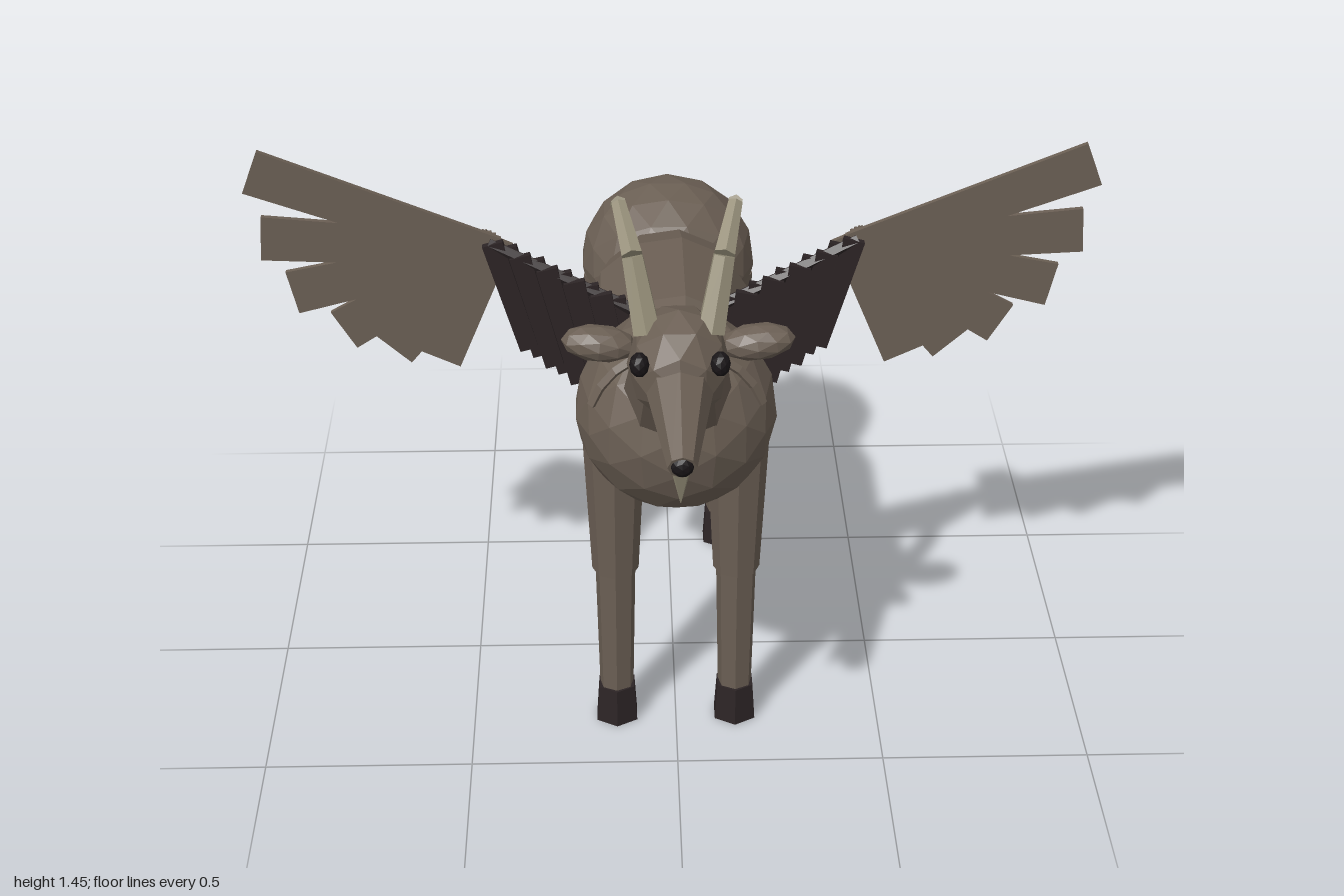
import * as THREE from 'three';

const mat = (name, color) => {
  const m = new THREE.MeshStandardMaterial({ color });
  m.name = name;
  return m;
};

export function createModel() {
  const model = new THREE.Group();
  model.name = 'wingedGoat';
  const hide = mat('hide brown', 0x6b5f54);
  const dark = mat('dark brown', 0x2c2425);
  const horn = mat('horn tan', 0x97907a);
  const black = mat('eye black', 0x191517);

  // faceted mesh: every face gets its own flat normal
  function add(name, geometry, material, parent = model) {
    const g = geometry.index ? geometry.toNonIndexed() : geometry;
    g.computeVertexNormals();
    const mesh = new THREE.Mesh(g, material);
    mesh.name = name;
    parent.add(mesh);
    return mesh;
  }
  const ball = (name, material, pos, size, detail = 2, parent = model) => {
    const mesh = add(name, new THREE.IcosahedronGeometry(1, detail).scale(...size), material, parent);
    mesh.position.set(...pos);
    return mesh;
  };
  // tapered prism running from point a to point b
  function taper(name, material, a, b, ra, rb, sides = 7, parent = model) {
    const start = new THREE.Vector3(...a), end = new THREE.Vector3(...b);
    const dir = end.clone().sub(start);
    const mesh = add(name, new THREE.CylinderGeometry(rb, ra, dir.length(), sides), material, parent);
    mesh.position.copy(start).add(end).multiplyScalar(0.5);
    mesh.quaternion.setFromUnitVectors(new THREE.Vector3(0, 1, 0), dir.normalize());
    return mesh;
  }
  // flat feather from a root point, widening to its tip
  function feather(name, material, root, angle, length, w0, w1, thick, parent) {
    const g = new THREE.BoxGeometry(length, 1, thick).translate(length / 2, 0, 0);
    const p = g.attributes.position;
    for (let i = 0; i < p.count; i++) p.setY(i, p.getY(i) * (p.getX(i) > 0.001 ? w1 : w0));
    const mesh = add(name, g, material, parent);
    mesh.position.set(...root);
    mesh.rotation.z = angle;
    return mesh;
  }

  // body
  ball('chest', hide, [0, 0.875, 0.295], [0.238, 0.238, 0.245], 2);
  const trunk = add('trunk', new THREE.CapsuleGeometry(0.208, 0.32, 3, 11), hide);
  trunk.rotation.x = Math.PI / 2;
  trunk.position.set(0, 0.83, -0.12);
  ball('rump', hide, [0, 0.845, -0.56], [0.228, 0.216, 0.23], 2);
  taper('tail', hide, [0, 0.95, -0.73], [0, 0.885, -0.85], 0.046, 0.001, 4);
  const ruff = add('neckRuff', new THREE.TorusGeometry(0.203, 0.013, 4, 10, Math.PI * 0.8), hide);
  ruff.position.set(0, 0.885, 0.41);
  ruff.rotation.z = Math.PI * 0.1;

  // head
  taper('neck', hide, [0, 0.94, 0.39], [0, 1.1, 0.52], 0.13, 0.11, 8);
  ball('head', hide, [0, 1.122, 0.535], [0.115, 0.132, 0.135], 1);
  taper('snout', hide, [0, 1.115, 0.58], [0, 1.032, 0.835], 0.083, 0.032, 8);
  ball('nose', black, [0, 1.035, 0.832], [0.026, 0.026, 0.02], 1);
  taper('beard', horn, [0, 1.02, 0.738], [0, 0.87, 0.714], 0.038, 0.001, 5);

  for (const s of [1, -1]) {
    const side = s > 0 ? 'left' : 'right';

    ball(side + 'Eye', black, [s * 0.088, 1.17, 0.63], [0.022, 0.028, 0.027], 1);
    const ear = ball(side + 'Ear', hide, [s * 0.175, 1.155, 0.5], [0.085, 0.04, 0.05], 1);
    ear.rotation.z = s * 0.12;

    // horns sweep up and back in three segments
    const path = [[0.07, 1.2, 0.54], [0.1, 1.36, 0.485], [0.128, 1.435, 0.375], [0.146, 1.37, 0.24]];
    const radii = [0.034, 0.026, 0.018, 0.002];
    for (let i = 0; i < 3; i++) {
      const at = (k) => [s * path[k][0], path[k][1], path[k][2]];
      taper(side + 'Horn', horn, at(i), at(i + 1), radii[i], radii[i + 1], 6);
    }

    // legs
    for (const [end, z] of [['Front', 0.3], ['Back', -0.515]]) {
      const x = s * 0.146;
      taper(side + end + 'UpperLeg', hide, [x, 0.82, z], [x, 0.435, z], 0.075, 0.056, 8);
      taper(side + end + 'LowerLeg', hide, [x, 0.46, z], [x, 0.08, z], 0.05, 0.042, 7);
      taper(side + end + 'Hoof', dark, [x, 0, z], [x, 0.098, z], 0.057, 0.05, 6);
    }

    // wings
    const wing = new THREE.Group();
    wing.name = side + 'Wing';
    model.add(wing);
    const turn = (a) => (s > 0 ? a : Math.PI - a);
    taper('wingArm', dark, [s * 0.1, 1.04, 0.115], [s * 0.435, 1.195, 0.075], 0.018, 0.016, 5, wing);

    // short dark feathers hanging from the arm
    const count = 10;
    for (let i = 0; i < count; i++) {
      const t = i / (count - 1);
      const root = [s * (0.14 + 0.285 * t), 1.07 + 0.13 * t, 0.115 - 0.045 * t + (i % 2) * 0.012];
      feather('covert', dark, root, turn(-1.75 - 0.1 * t), 0.34 - 0.05 * t, 0.05, 0.045, 0.018, wing);
    }

    // long feathers fanned out from the wing tip: angle in degrees, length, z
    const fan = [
      [21, 0.6, 0.062], [4, 0.55, 0.046], [-13, 0.5, 0.03],
      [-31, 0.435, 0.012], [-48, 0.385, -0.005], [-65, 0.355, -0.022],
    ];
    for (const [deg, length, z] of fan) {
      feather('flightFeather', hide, [s * 0.42, 1.165, z], turn(THREE.MathUtils.degToRad(deg)),
        length, 0.085, 0.112, 0.013, wing);
    }
  }
  return model;
}
